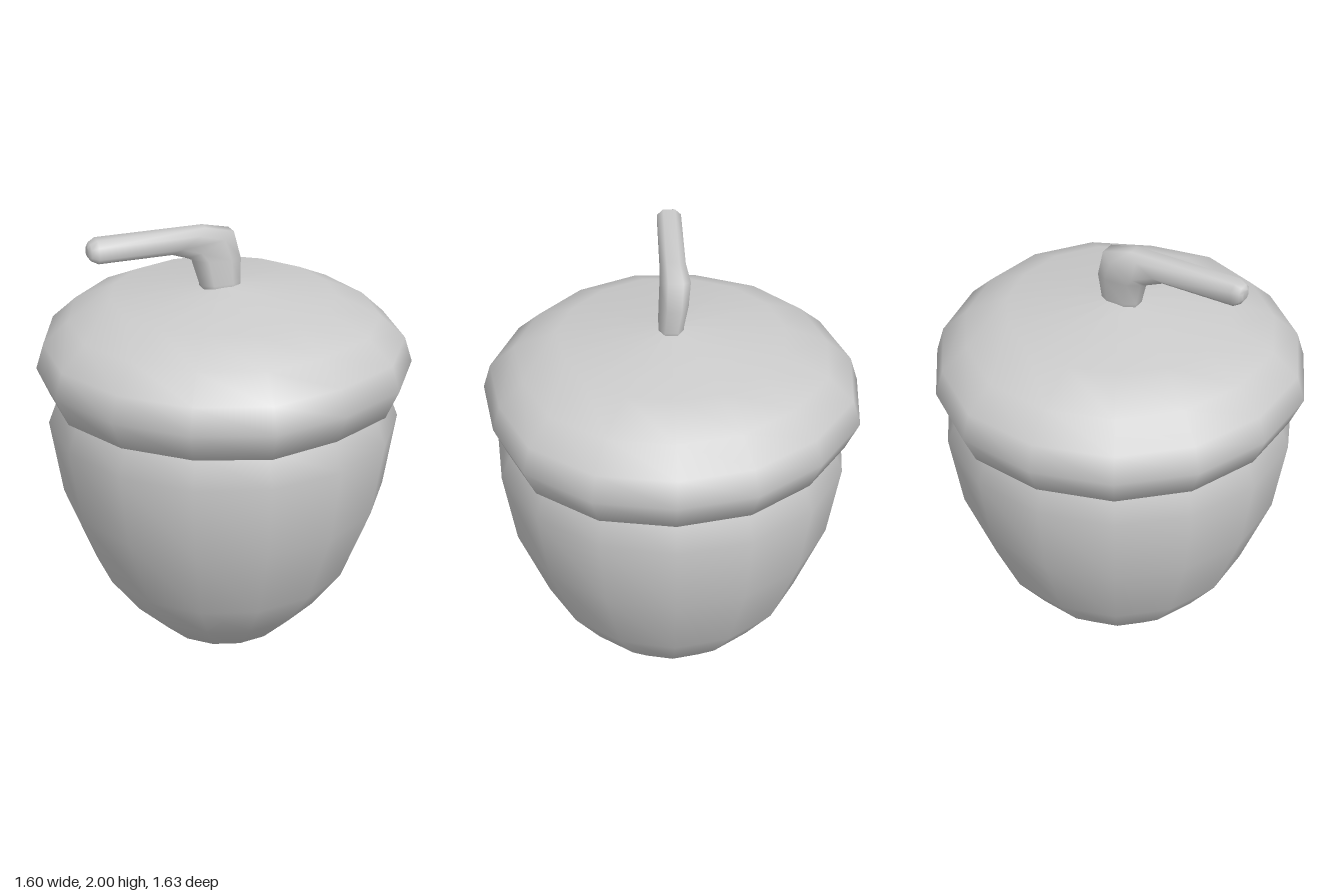
import * as THREE from 'three';

const SIDES = 15;
const material = new THREE.MeshStandardMaterial({ color: 0xcccccc });

// Revolves a bottom-to-top profile, with one corner on +x
function turned(name, profile) {
  const points = profile.map(([r, y]) => new THREE.Vector2(r, y));
  const mesh = new THREE.Mesh(new THREE.LatheGeometry(points, SIDES, Math.PI / 2), material);
  mesh.name = name;
  return mesh;
}

// Gives each spoke of a turned part its own slight radius change
function makeUneven(mesh, spokes, rows) {
  const p = mesh.geometry.attributes.position;
  for (let i = 0; i < p.count; i++) {
    const k = spokes[Math.floor(i / rows) % SIDES];
    p.setX(i, p.getX(i) * k);
    p.setZ(i, p.getZ(i) * k);
  }
}

// Skins cut-corner sections, each [innerX, innerY, outerX, outerY, zBack, zFront]
function skin(name, sections) {
  const corners = [[1, -0.5], [1, 0.5], [0.5, 1], [-0.5, 1], [-1, 0.5], [-1, -0.5], [-0.5, -1], [0.5, -1]];
  const n = corners.length, positions = [], index = [];
  for (const [ax, ay, bx, by, z0, z1] of sections) {
    for (const [u, v] of corners) {
      positions.push(
        (ax + bx) / 2 + u * (bx - ax) / 2,
        (ay + by) / 2 + u * (by - ay) / 2,
        (z0 + z1) / 2 + v * (z1 - z0) / 2);
    }
  }
  for (let i = 0; i < sections.length - 1; i++) {
    for (let j = 0; j < n; j++) {
      const a = i * n + j, b = i * n + (j + 1) % n;
      index.push(a, a + n, b + n, a, b + n, b);
    }
  }
  // Close both ends
  const last = (sections.length - 1) * n;
  for (let j = 1; j < n - 1; j++) {
    index.push(0, j, j + 1);
    index.push(last, last + j + 1, last + j);
  }
  const geometry = new THREE.BufferGeometry();
  geometry.setAttribute('position', new THREE.Float32BufferAttribute(positions, 3));
  geometry.setIndex(index);
  geometry.computeVertexNormals();
  const mesh = new THREE.Mesh(geometry, material);
  mesh.name = name;
  return mesh;
}

export function createModel() {
  const model = new THREE.Group();
  model.name = 'acorn';

  // Nut, tapering to a blunt point and tucked into the cap
  model.add(turned('nut', [
    [0, 0], [0.3, 0.1], [0.455, 0.26], [0.59, 0.45],
    [0.72, 0.8], [0.77, 1.14], [0.715, 1.28], [0.68, 1.34],
  ]));

  // Cap with a closed underside and a slightly irregular rim
  const capProfile = [
    [0, 1.275], [0.68, 1.275], [0.76, 1.27], [0.815, 1.4],
    [0.78, 1.51], [0.67, 1.61], [0.485, 1.695], [0, 1.745],
  ];
  const cap = turned('cap', capProfile);
  makeUneven(cap, [0.985, 0.985, 0.985, 1.018, 1.013, 1.014, 1.006, 0.995,
    1.006, 0.99, 0.985, 1, 0.968, 1.006, 1.006], capProfile.length);
  model.add(cap);

  // Bent stem, rising from the cap and turning to -x
  model.add(skin('stem', [
    [-0.09, 1.69, 0.07, 1.69, -0.055, 0.05],
    [-0.1, 1.75, 0.07, 1.75, -0.055, 0.05],
    [-0.13, 1.86, 0.075, 1.85, -0.075, 0.045],
    [-0.16, 1.875, 0.045, 1.97, -0.085, 0.042],
    [-0.23, 1.9, -0.08, 2, -0.068, 0.04],
    [-0.55, 1.9, -0.55, 2, -0.065, 0.04],
    [-0.58, 1.915, -0.58, 1.985, -0.05, 0.028],
    [-0.59, 1.93, -0.59, 1.97, -0.035, 0.012],
  ]));

  return model;
}
